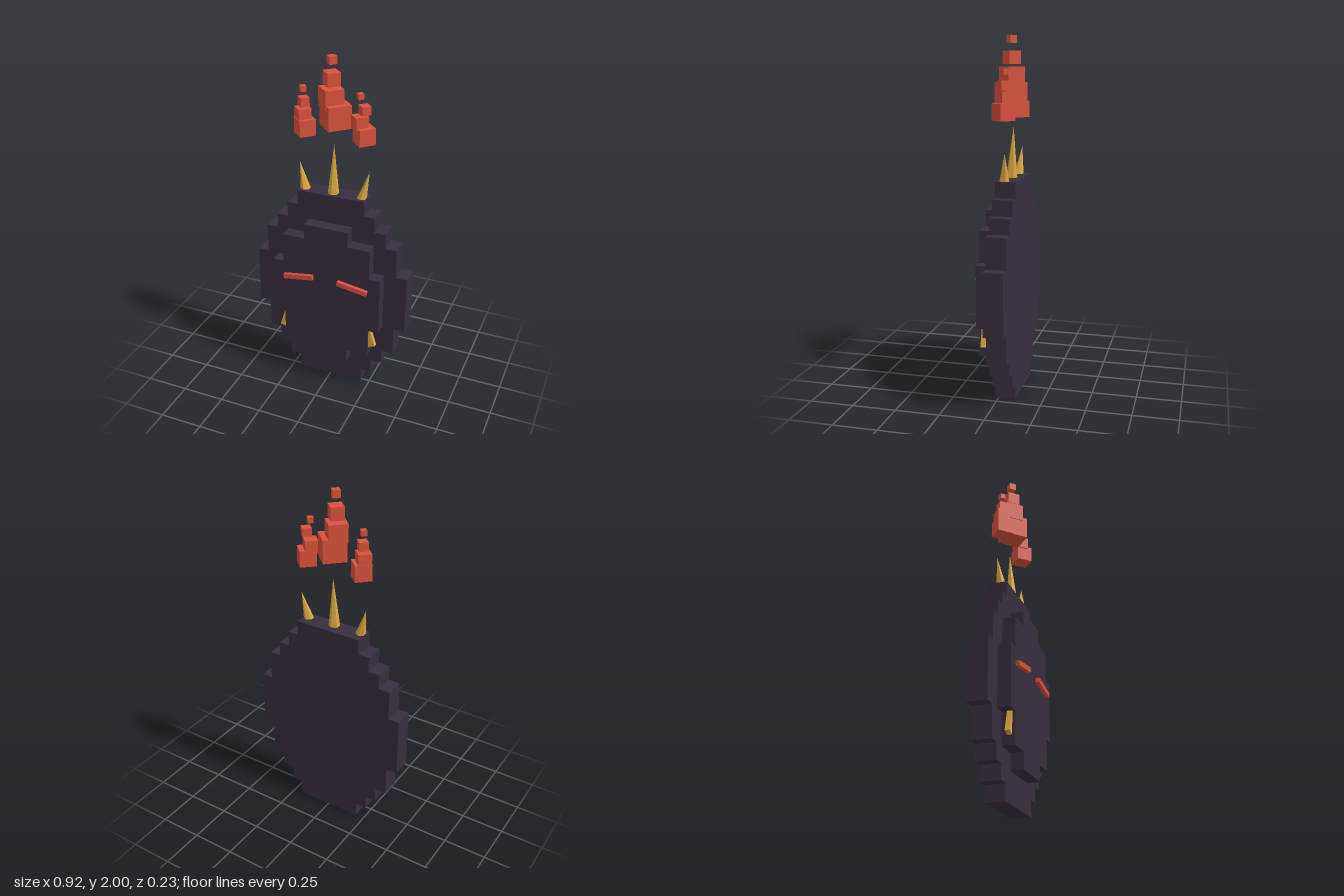
import * as THREE from 'three';

const darkStone = new THREE.MeshStandardMaterial({ name: 'darkStone', color: 0x382e3e, flatShading: true });
const emberRed = new THREE.MeshStandardMaterial({ name: 'emberRed', color: 0xd8513c, flatShading: true });
const hornGold = new THREE.MeshStandardMaterial({ name: 'hornGold', color: 0xdaa83e, flatShading: true });

// Stepped oval plate: rows of [bottom y, half width], closed at topY
function steppedPlate(name, rows, topY, zBack, zFront) {
  const right = [];
  rows.forEach(([y, w], i) => {
    const yEnd = i + 1 < rows.length ? rows[i + 1][0] : topY;
    right.push(new THREE.Vector2(w, y), new THREE.Vector2(w, yEnd));
  });
  const left = right.map((p) => new THREE.Vector2(-p.x, p.y)).reverse();
  const geometry = new THREE.ExtrudeGeometry(new THREE.Shape([...right, ...left]), {
    depth: zFront - zBack, bevelEnabled: false,
  });
  const mesh = new THREE.Mesh(geometry, darkStone);
  mesh.name = name;
  mesh.position.z = zBack;
  return mesh;
}

function box(name, material, size, position, rotation = [0, 0, 0]) {
  const mesh = new THREE.Mesh(new THREE.BoxGeometry(...size), material);
  mesh.name = name;
  mesh.position.set(...position);
  mesh.rotation.set(...rotation);
  return mesh;
}

// Slender spike running from base point to tip
function horn(name, base, tip, radius) {
  const a = new THREE.Vector3(...base);
  const b = new THREE.Vector3(...tip);
  const axis = b.clone().sub(a);
  const mesh = new THREE.Mesh(new THREE.ConeGeometry(radius, axis.length(), 6), hornGold);
  mesh.name = name;
  mesh.position.copy(a).add(b).multiplyScalar(0.5);
  mesh.quaternion.setFromUnitVectors(new THREE.Vector3(0, 1, 0), axis.normalize());
  return mesh;
}

// Column of diamond-turned cubes: [x, bottom y, side]
function flame(name, cubes) {
  const group = new THREE.Group();
  group.name = name;
  cubes.forEach(([x, y, s], i) => {
    group.add(box(`${name}Cube${i + 1}`, emberRed, [s, s, s], [x, y + s / 2, -0.023], [0, Math.PI / 4, 0]));
  });
  return group;
}

export function createModel() {
  const model = new THREE.Group();
  model.name = 'hornedMask';

  // Mask body
  model.add(steppedPlate('backPlate', [
    [0, 0.198], [0.09, 0.262], [0.176, 0.327], [0.264, 0.395], [0.44, 0.46],
    [0.79, 0.395], [0.963, 0.327], [1.05, 0.262], [1.138, 0.198],
  ], 1.225, -0.095, 0.018));
  model.add(steppedPlate('facePlate', [
    [0.17, 0.131], [0.262, 0.262], [0.44, 0.327], [0.79, 0.262], [0.968, 0.131],
  ], 1.058, 0.018, 0.091));

  // Mirrored eyes, tusks and side horns
  for (const [side, s] of [['left', 1], ['right', -1]]) {
    model.add(box(`${side}Eye`, emberRed, [0.182, 0.028, 0.024], [s * 0.165, 0.714, 0.101], [0, 0, -s * 0.155]));
    model.add(box(`${side}Tusk`, hornGold, [0.06, 0.16, 0.026], [s * 0.251, 0.395, 0.062], [0, 0, s * 0.3]));
    model.add(horn(`${side}Horn`, [s * 0.163, 1.2, -0.025], [s * 0.206, 1.38, -0.037], 0.032));
  }
  model.add(horn('centreHorn', [0, 1.205, -0.025], [0, 1.51, -0.036], 0.034));

  // Floating flames
  model.add(flame('centreFlame', [
    [0.012, 1.62, 0.13], [-0.012, 1.727, 0.104], [-0.01, 1.845, 0.073], [-0.008, 1.958, 0.042],
  ]));
  model.add(flame('rightFlame', [
    [-0.165, 1.55, 0.092], [-0.176, 1.628, 0.072], [-0.17, 1.71, 0.05], [-0.173, 1.79, 0.031],
  ]));
  model.add(flame('leftFlame', [
    [0.175, 1.55, 0.092], [0.15, 1.628, 0.072], [0.176, 1.71, 0.05], [0.15, 1.79, 0.031],
  ]));

  return model;
}
